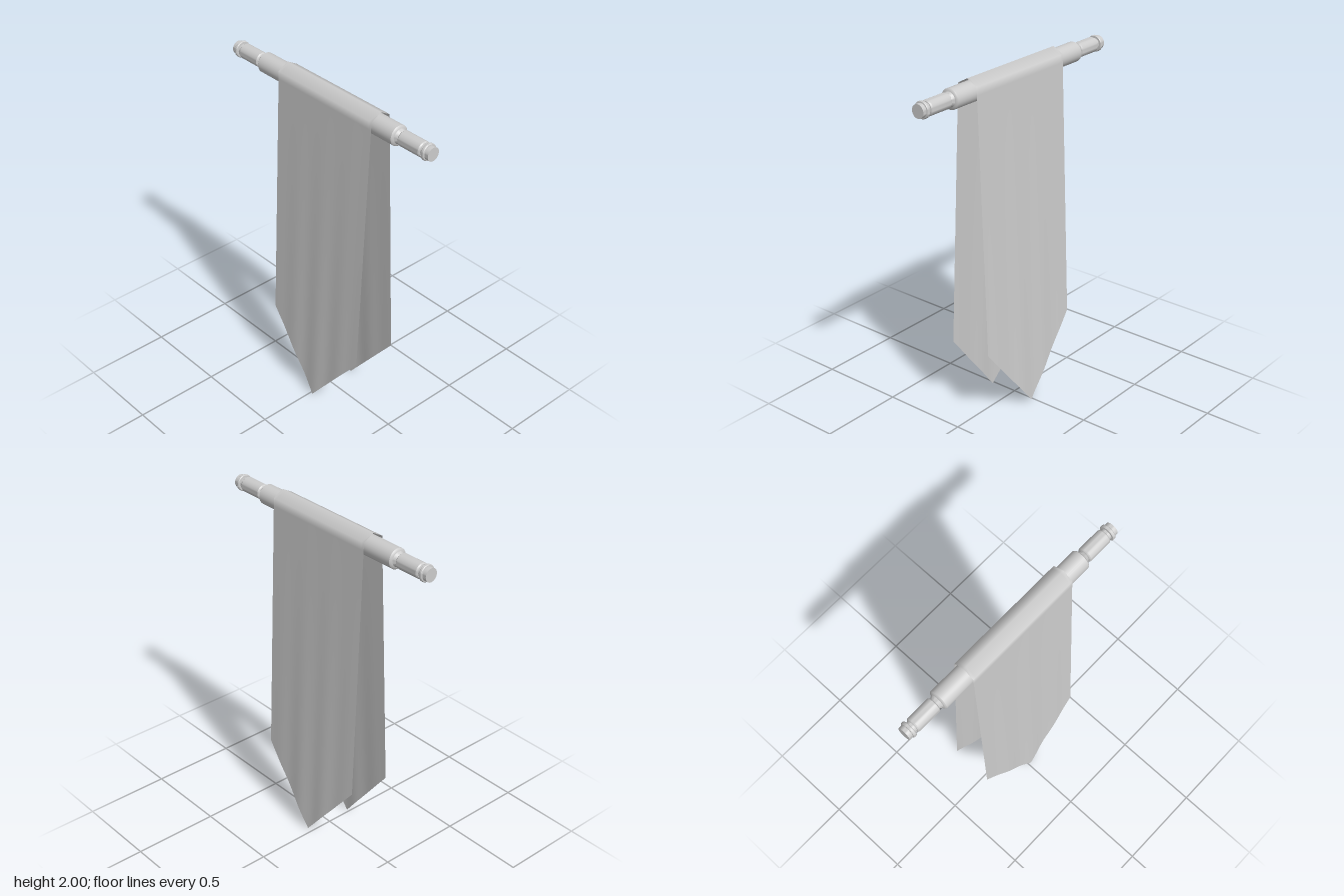
import * as THREE from 'three';
import { toCreasedNormals } from 'three/addons/utils/BufferGeometryUtils.js';

const POLE_Y = 1.925;
const material = new THREE.MeshStandardMaterial({ color: 0xcccccc });
const clothMaterial = new THREE.MeshStandardMaterial({ color: 0xcccccc, side: THREE.DoubleSide });

// Turned pole: half profile as [radius, distance from the middle], mirrored
function createPole() {
  const half = [
    [0.057, 0.508], [0.052, 0.514], [0.042, 0.517], [0.031, 0.535], [0.038, 0.537],
    [0.043, 0.543], [0.043, 0.68], [0.038, 0.687], [0.033, 0.688], [0.033, 0.702],
    [0.044, 0.703], [0.047, 0.707], [0.047, 0.717], [0.044, 0.721],
    [0.038, 0.722], [0.038, 0.745], [0, 0.745],
  ];
  const right = half.map(([r, d]) => new THREE.Vector2(r, d));
  const left = half.map(([r, d]) => new THREE.Vector2(r, -d)).reverse();
  const lathe = new THREE.LatheGeometry([...left, ...right], 32);
  const pole = new THREE.Mesh(toCreasedNormals(lathe, 0.6), material);
  pole.name = 'pole';
  pole.rotation.z = -Math.PI / 2;
  pole.position.y = POLE_Y;
  return pole;
}

// One point of a hanging side: u runs across (-1..1), t runs down (0..1)
function hang(u, t, side) {
  const front = side > 0;
  const tipY = front ? 0 : 0.01;
  const bottom = THREE.MathUtils.lerp(tipY, 0.44, Math.abs(u));
  const y = THREE.MathUtils.lerp(1.92, bottom, t);
  const drop = (1.92 - y) / 1.92;
  // Outer edges swing out by different amounts
  const edge = front ? (u < 0 ? 0.13 : 0.145) : 0.13;
  const spread = THREE.MathUtils.lerp(0.149, edge + 0.012, Math.abs(u));
  // Soft pleats that grow downward and fade at the edges
  const pleat = 0.0035 * drop * Math.sin(u * 11 + side) * (1 - u * u);
  const z = side * (0.064 + (spread - 0.064) * drop + pleat);
  const shift = front ? -0.007 * drop : 0.002 * drop;
  return [shift, y, z];
}

// Cloth draped over the pole, from the back point over the crest to the front point
function createCloth() {
  const columns = 40, n = 16;
  const crest = [[1.965, -0.062], [2, 0], [1.965, 0.062]];
  const rows = 2 * n + crest.length + 1;
  const geometry = new THREE.PlaneGeometry(2, 1, columns, rows);
  const position = geometry.attributes.position;
  for (let j = 0; j <= rows; j++) {
    for (let i = 0; i <= columns; i++) {
      const u = (2 * i) / columns - 1;
      let dx = 0, y, z;
      if (j <= n) [dx, y, z] = hang(u, 1 - j / n, -1);
      else if (j <= n + crest.length) [y, z] = crest[j - n - 1];
      else [dx, y, z] = hang(u, (j - n - crest.length - 1) / n, 1);
      const x = 0.023 + u * 0.354 + dx;
      position.setXYZ(j * (columns + 1) + i, x, y, z);
    }
  }
  geometry.computeVertexNormals();
  const cloth = new THREE.Mesh(geometry, clothMaterial);
  cloth.name = 'bannerCloth';
  return cloth;
}

export function createModel() {
  const group = new THREE.Group();
  group.name = 'hangingBanner';
  group.add(createPole(), createCloth());
  return group;
}
